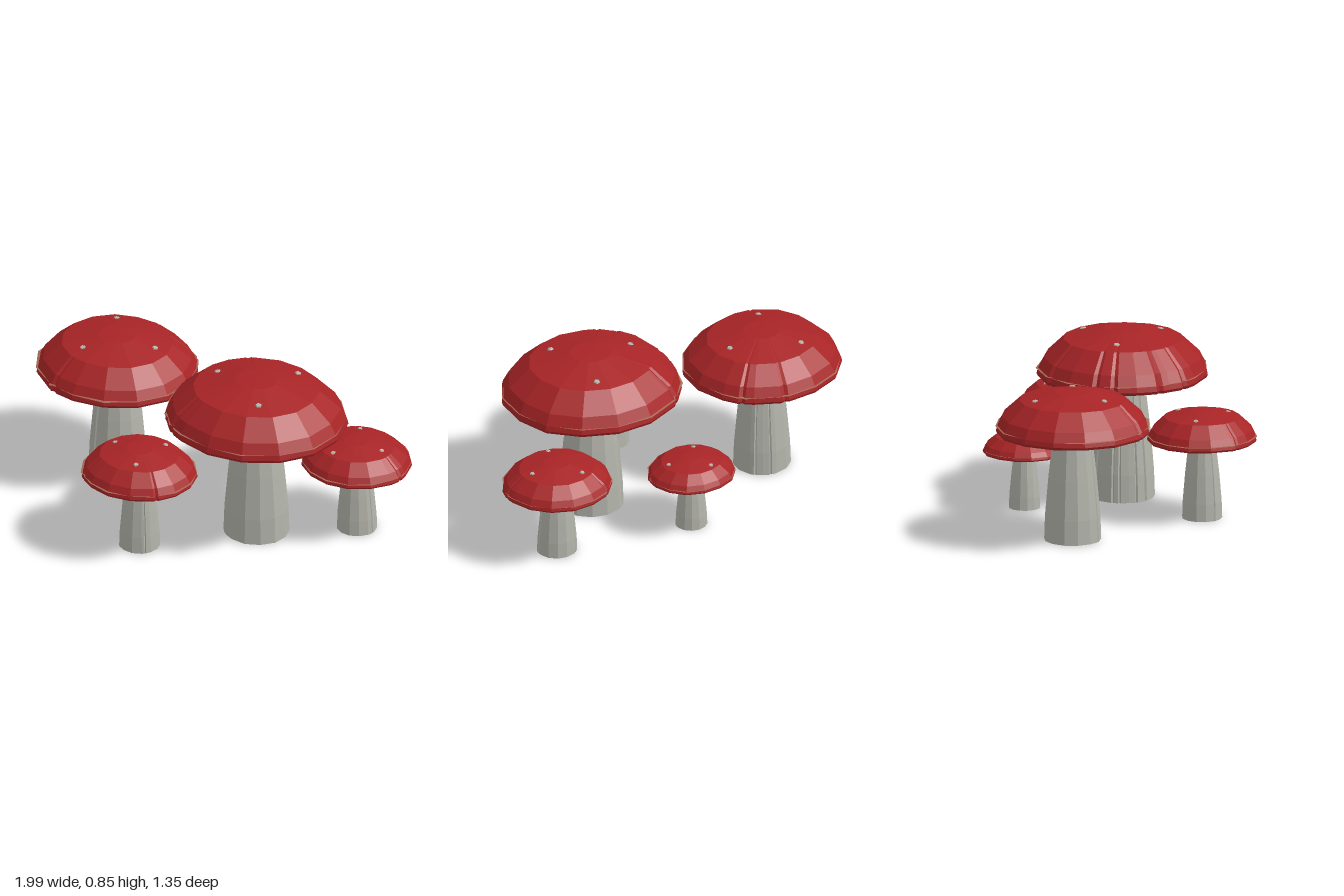
import * as THREE from 'three';

const flat = (color, name) => {
  const m = new THREE.MeshStandardMaterial({ color });
  m.name = name;
  return m;
};

// Small seeded generator for the uneven edges
function seeded(seed) {
  let s = seed * 7919 + 17;
  return () => (s = (s * 16807) % 2147483647) / 2147483647;
}

// Spokes around the axis: even sides plus narrow creases, each with its own radius factor
function makeSpokes(sides, creases, depth, rand) {
  const spokes = [];
  for (let i = 0; i < sides; i++) {
    const a = (i / sides) * Math.PI * 2;
    if (creases.every(c => Math.abs(c - a) > 0.08)) spokes.push([a, 0.985 + rand() * 0.02]);
  }
  for (const c of creases) spokes.push([c - 0.045, 1], [c, 1 - depth], [c + 0.045, 1.005]);
  return spokes.sort((p, q) => p[0] - q[0]);
}

// Faceted surface through rings [radius x, radius z, y, jitter], wrapped around the spokes
function loft(rings, spokes, rand) {
  const points = rings.map(([rx, rz, y, jitter = 0]) => spokes.map(([a, k]) => {
    const f = k + (rand() - 0.5) * jitter;
    return new THREE.Vector3(Math.cos(a) * rx * f, y, Math.sin(a) * rz * f);
  }));
  const pos = [];
  const tri = (...v) => v.forEach(p => pos.push(p.x, p.y, p.z));
  for (let j = 0; j < rings.length - 1; j++) {
    for (let i = 0; i < spokes.length; i++) {
      const n = (i + 1) % spokes.length;
      const a = points[j][i], b = points[j + 1][i], c = points[j + 1][n], d = points[j][n];
      if (rings[j + 1][0] > 0) tri(a, b, c);
      if (rings[j][0] > 0) tri(a, c, d);
    }
  }
  const g = new THREE.BufferGeometry();
  g.setAttribute('position', new THREE.Float32BufferAttribute(pos, 3));
  g.computeVertexNormals();
  return g;
}

// Cap outline from rim to crown: radius fraction, height fraction
const CAP = [[0.985, 0], [1, 0.06], [0.985, 0.17], [0.92, 0.4], [0.69, 0.79], [0.23, 0.99], [0, 1]];

export function createModel() {
  const red = flat(0xa82426, 'cap red');
  const grey = flat(0xb3b4ab, 'stem grey');
  const brown = flat(0xa56854, 'gill brown');
  const model = new THREE.Group();
  model.name = 'mushroomCluster';

  const mushrooms = [
    { name: 'largeMushroom', x: 0.3, z: 0, rx: 0.455, rz: 0.425, top: 0.845, rim: 0.61, neck: 0.54, base: 0.163,
      creases: [2.3, 2.65, 3.2, 3.42, 4.1],
      spots: [[0.07, -0.02], [0.42, -0.2], [0.41, 0.18]] },
    { name: 'leftMushroom', x: -0.597, z: -0.21, rx: 0.405, rz: 0.38, top: 0.745, rim: 0.54, neck: 0.48, base: 0.145,
      creases: [2.0, 5.05, 5.6],
      spots: [[-0.7, -0.39], [-0.39, -0.22], [-0.7, -0.05]] },
    { name: 'frontMushroom', x: -0.13, z: 0.405, rx: 0.29, rz: 0.27, top: 0.54, rim: 0.39, neck: 0.345, base: 0.102,
      creases: [0.8, 2.4],
      spots: [[-0.28, 0.38], [-0.05, 0.285], [-0.08, 0.53]] },
    { name: 'rightMushroom', x: 0.715, z: -0.26, rx: 0.278, rz: 0.26, top: 0.49, rim: 0.355, neck: 0.315, base: 0.1,
      creases: [0.2, 3.3, 4.2],
      spots: [[0.66, -0.39], [0.86, -0.25], [0.66, -0.12]] },
    { name: 'backMushroom', x: 0.045, z: -0.47, rx: 0.225, rz: 0.207, top: 0.38, rim: 0.28, neck: 0.25, base: 0.08,
      creases: [0.3],
      spots: [[0.01, -0.58], [0.17, -0.45], [-0.03, -0.39]] },
  ];

  mushrooms.forEach((m, index) => {
    const rand = seeded(index + 1);
    const group = new THREE.Group();
    group.name = m.name;
    group.position.set(m.x, 0, m.z);
    const add = (geometry, material, name) => {
      const mesh = new THREE.Mesh(geometry, material);
      mesh.name = name;
      group.add(mesh);
      return mesh;
    };
    const h = m.top - m.rim;

    // Tapered stem with a closed foot
    const b = m.base;
    const stem = [[0, 0], [1, 0], [0.97, 0.25], [0.85, 0.65], [0.7, 1.03]]
      .map(([r, y]) => [b * r, b * r * 0.97, m.neck * y]);
    add(loft(stem, makeSpokes(13, m.creases, 0.04, rand), rand), grey, 'stem');

    // Domed cap
    const spokes = makeSpokes(15, m.creases, 0.025, rand);
    add(loft(CAP.map(([r, y]) => [m.rx * r, m.rz * r, m.rim + h * y]), spokes, rand), red, 'cap');

    // Shallow underside
    add(loft([
      [b * 0.62, b * 0.6, m.neck],
      [m.rx * 0.987, m.rz * 0.987, m.rim],
    ], spokes, rand), brown, 'gills');

    // Ragged thin fringe poking through just above the rim
    add(loft([
      [m.rx * 0.93, m.rz * 0.93, m.rim + h * 0.15],
      [m.rx * 0.998, m.rz * 0.998, m.rim + h * 0.17, 0.045],
      [m.rx * 0.93, m.rz * 0.93, m.rim + h * 0.2],
    ], spokes, rand), brown, 'fringe');

    // Tiny flecks lying on the slope of the cap
    m.spots.forEach(([sx, sz]) => {
      const dx = sx - m.x, dz = sz - m.z;
      const r = Math.hypot(dx / m.rx, dz / m.rz);
      const y = m.rim + h * (0.99 - 0.2 * (r - 0.23) / 0.46);
      const size = 0.009 + m.rx * 0.022;
      const spot = add(new THREE.CylinderGeometry(size * 0.7, size, 0.009, 5).toNonIndexed(), grey, 'spot');
      spot.geometry.computeVertexNormals();
      spot.position.set(dx, y, dz);
      const normal = new THREE.Vector3(dx, Math.hypot(dx, dz) * 4.2, dz).normalize();
      spot.quaternion.setFromUnitVectors(new THREE.Vector3(0, 1, 0), normal);
    });
    model.add(group);
  });
  return model;
}
